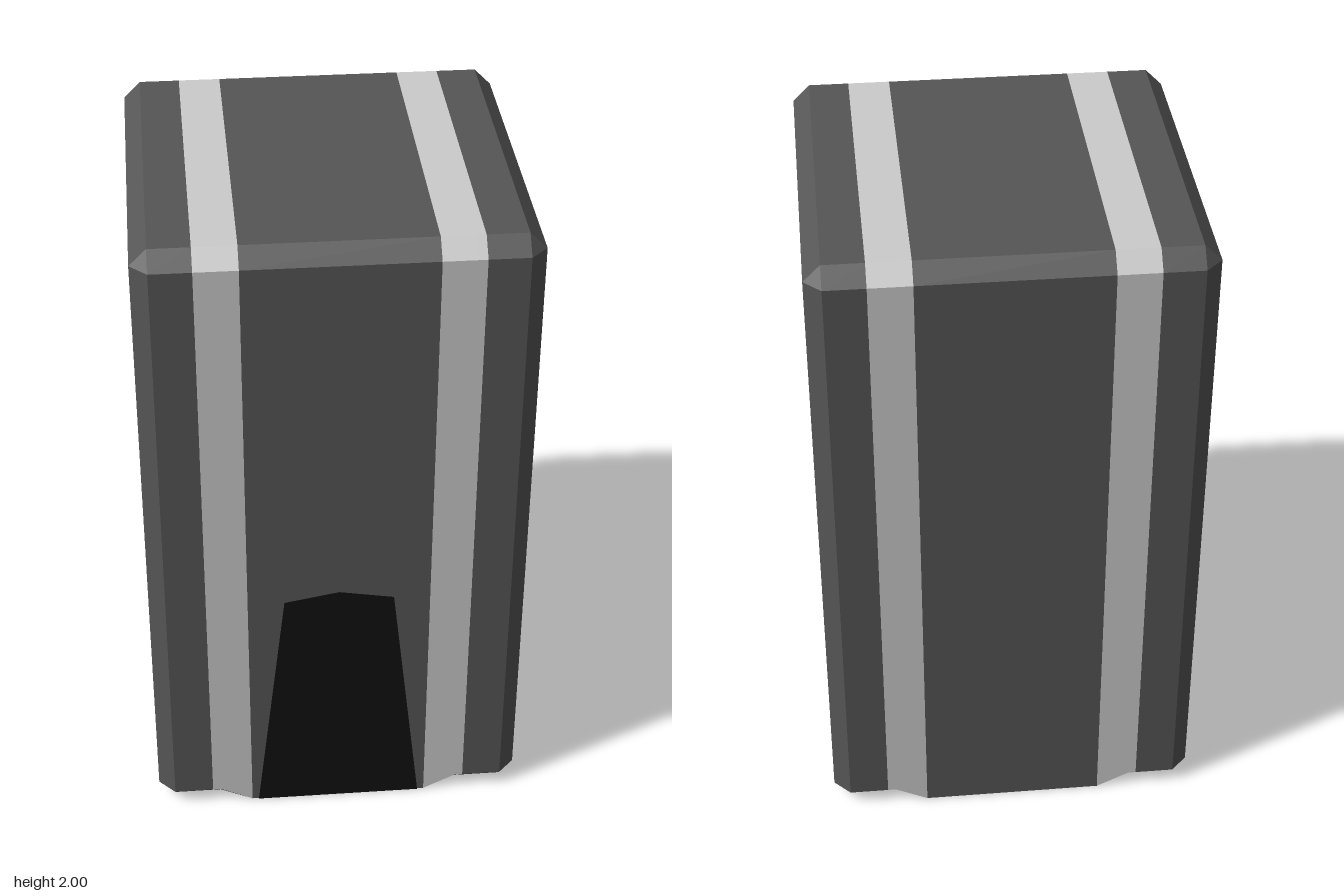
import * as THREE from 'three';

const HALF = 0.57, TOP = 2, C = 0.05; // half width, height, bevel

// Eight-point section in [z, y], running up the front and down the back.
// e: inset of the whole outline, t: top bevel, b: bottom bevel
function section(x, e, t, b) {
  const z = HALF - e, lo = e, hi = TOP - e;
  return [
    [z, lo + b], [z, hi - t], [z - t, hi], [t - z, hi],
    [-z, hi - t], [-z, lo + b], [b - z, lo], [z - b, lo],
  ].map(([pz, py]) => new THREE.Vector3(x, py, pz));
}

function material(color) {
  return new THREE.MeshStandardMaterial({ color, flatShading: true });
}

function meshFrom(name, tris, color) {
  const geo = new THREE.BufferGeometry().setFromPoints(tris);
  geo.computeVertexNormals();
  const mesh = new THREE.Mesh(geo, material(color));
  mesh.name = name;
  return mesh;
}

export function createModel() {
  const group = new THREE.Group();
  group.name = 'bevelledBlock';

  // Cross-sections from the side face to the middle, then mirrored
  const half = [
    [0.57, C, 0, 0],
    [0.52, 0, C, C],
    [0.40, 0, C, C],
    [0.375, 0, C, C],
    [0.275, 0, C, 0], // the middle runs square down to the ground
  ];
  const rings = [
    ...half.map(([x, ...r]) => section(-x, ...r)),
    ...half.slice().reverse().map(([x, ...r]) => section(x, ...r)),
  ];

  const body = [], leftStripe = [], rightStripe = [];
  const area = new THREE.Triangle();
  const addTri = (list, a, b, c) => {
    if (area.set(a, b, c).getArea() > 1e-7) list.push(a, b, c);
  };

  // Skin between neighbouring sections
  for (let i = 0; i < rings.length - 1; i++) {
    const p = rings[i], q = rings[i + 1];
    const mid = (p[0].x + q[0].x) / 2;
    const striped = Math.abs(mid) > 0.275 && Math.abs(mid) < 0.4;
    for (let j = 0; j < 8; j++) {
      const k = (j + 1) % 8;
      const lowerBevel = j === 5 || j === 7;
      const list = striped && !lowerBevel ? (mid > 0 ? leftStripe : rightStripe) : body;
      addTri(list, p[j], q[j], q[k]);
      addTri(list, p[j], q[k], p[k]);
    }
  }

  // Flat side faces
  const first = rings[0], last = rings[rings.length - 1];
  for (let j = 1; j < 7; j++) {
    addTri(body, first[0], first[j], first[j + 1]);
    addTri(body, last[0], last[j + 1], last[j]);
  }

  group.add(
    meshFrom('body', body, 0x565656),
    meshFrom('leftStripe', leftStripe, 0xcccccc),
    meshFrom('rightStripe', rightStripe, 0xcccccc),
  );

  // Dark tapered panel on the front
  const outline = [[-0.255, 0], [0.255, 0], [0.165, 0.8], [0, 0.83], [-0.165, 0.8]];
  const shape = new THREE.Shape(outline.map(([x, y]) => new THREE.Vector2(x, y)));
  const panel = new THREE.Mesh(new THREE.ShapeGeometry(shape), material(0x101010));
  panel.name = 'frontPanel';
  panel.position.z = HALF + 0.003;
  group.add(panel);

  return group;
}
